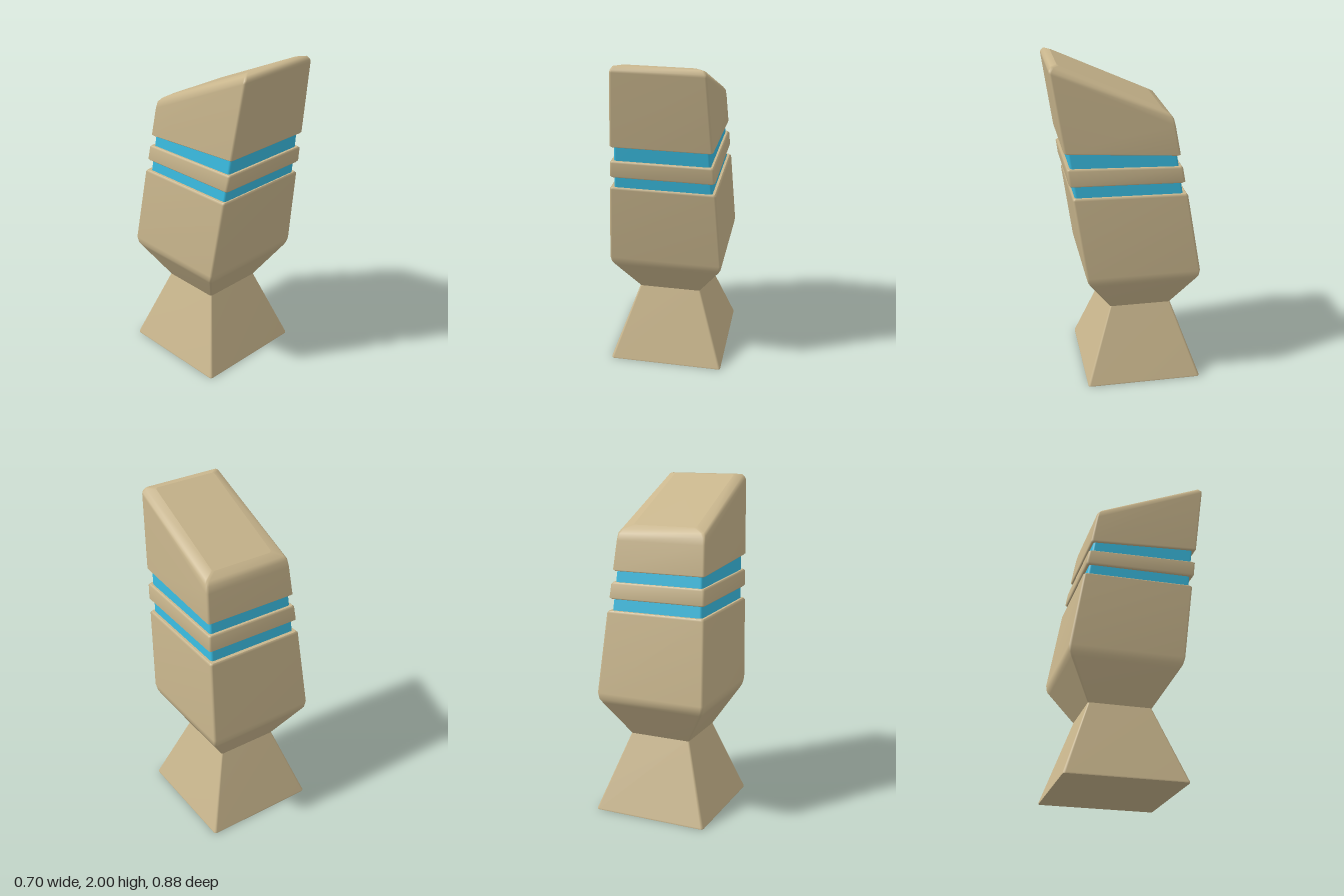
import * as THREE from 'three';

const tan = new THREE.MeshStandardMaterial({ color: 0xc9b68d });
tan.name = 'sandTan';
const blue = new THREE.MeshStandardMaterial({ color: 0x3abde2 });
blue.name = 'brightBlue';

const STEPS = 3; // segments per rounded corner
const lerp = THREE.MathUtils.lerp;

// Rounded rectangular ring, tilted from front to back.
// [half width front, half width back, front z, front y, back z, back y, corner radius]
function ring([wf, wb, zf, yf, zb, yb, r = 0.015]) {
  const pts = [];
  for (let k = 0; k < 4; k++) {
    const sx = k === 0 || k === 3 ? 1 : -1;
    const cz = k < 2 ? zb + r : zf - r;
    for (let s = 0; s <= STEPS; s++) {
      const a = (k + s / STEPS) * Math.PI / 2;
      const z = cz - r * Math.sin(a);
      const t = (z - zb) / (zf - zb);
      pts.push([sx * (lerp(wb, wf, t) - r) + r * Math.cos(a), lerp(yb, yf, t), z]);
    }
  }
  return pts;
}

// Skin the rings from bottom to top; the end caps have their own vertices.
function loft(name, material, sections) {
  const rings = sections.map(ring);
  const n = rings[0].length;
  const pos = rings.flat(2);
  const idx = [];
  for (let j = 0; j < rings.length - 1; j++) {
    for (let i = 0; i < n; i++) {
      const a = j * n + i, b = j * n + (i + 1) % n;
      idx.push(a, b, b + n, a, b + n, a + n);
    }
  }
  const cap = (pts, up) => {
    const start = pos.length / 3;
    const c = [0, 1, 2].map((d) => pts.reduce((sum, p) => sum + p[d], 0) / n);
    pos.push(...pts.flat(), ...c);
    for (let i = 0; i < n; i++) {
      const a = start + i, b = start + (i + 1) % n;
      idx.push(start + n, up ? a : b, up ? b : a);
    }
  };
  cap(rings[0], false);
  cap(rings[rings.length - 1], true);
  const geo = new THREE.BufferGeometry();
  geo.setAttribute('position', new THREE.Float32BufferAttribute(pos, 3));
  geo.setIndex(idx);
  geo.computeVertexNormals();
  const mesh = new THREE.Mesh(geo, material);
  mesh.name = name;
  return mesh;
}

export function createModel() {
  const group = new THREE.Group();
  group.name = 'leaningPillar';

  // Flared foot narrowing to the waist
  group.add(loft('foot', tan, [
    [0.352, 0.352, 0.265, 0, -0.44, 0],
    [0.352, 0.352, 0.265, 0.008, -0.44, 0.008],
    [0.19, 0.19, 0.1, 0.47, -0.275, 0.47, 0.01],
  ]));

  // Lower body with a soft shoulder
  group.add(loft('lowerBody', tan, [
    [0.19, 0.19, 0.1, 0.465, -0.275, 0.465, 0.01],
    [0.322, 0.322, 0.237, 0.68, -0.405, 0.68],
    [0.335, 0.335, 0.252, 0.705, -0.42, 0.705],
    [0.342, 0.342, 0.264, 0.745, -0.425, 0.745],
    [0.312, 0.312, 0.333, 1.232, -0.345, 1.22],
    [0.302, 0.302, 0.326, 1.243, -0.337, 1.231],
  ]));

  // Blue core showing in the two grooves
  group.add(loft('blueCore', blue, [
    [0.289, 0.289, 0.315, 1.22, -0.32, 1.21],
    [0.273, 0.273, 0.356, 1.53, -0.277, 1.485],
  ]));

  // Band between the grooves
  group.add(loft('middleBand', tan, [
    [0.297, 0.297, 0.343, 1.315, -0.318, 1.3],
    [0.305, 0.305, 0.35, 1.324, -0.327, 1.308],
    [0.299, 0.299, 0.362, 1.41, -0.313, 1.388],
    [0.29, 0.29, 0.355, 1.419, -0.305, 1.397],
  ]));

  // Head with a slanted top
  group.add(loft('head', tan, [
    [0.286, 0.286, 0.366, 1.509, -0.29, 1.463],
    [0.294, 0.294, 0.375, 1.517, -0.298, 1.47],
    [0.265, 0.282, 0.441, 1.965, -0.267, 1.64],
    [0.262, 0.276, 0.44, 1.98, -0.257, 1.68],
    [0.248, 0.26, 0.427, 2, -0.24, 1.703],
    [0.2, 0.2, 0.39, 1.999, -0.2, 1.729],
  ]));

  return group;
}
